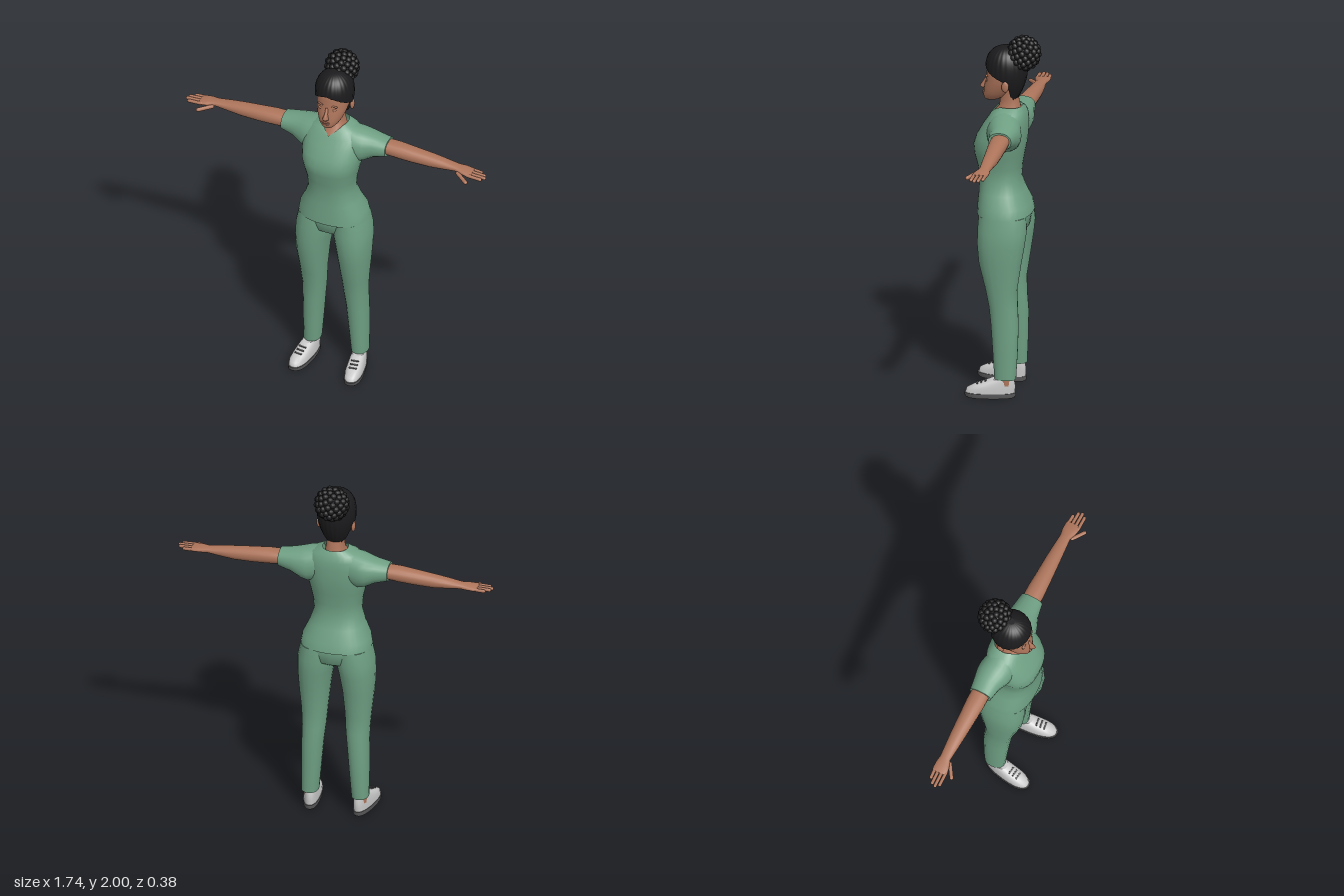
import * as THREE from 'three';

const flat = (name, color) => Object.assign(new THREE.MeshStandardMaterial({ color }), { name });

// Skin through closed rings of points; ends are capped unless told otherwise
function loft(rings, capStart = true, capEnd = true) {
  const n = rings[0].length, pos = rings.flat(2), idx = [];
  for (let i = 0; i < rings.length - 1; i++) {
    for (let j = 0; j < n; j++) {
      const a = i * n + j, b = i * n + (j + 1) % n;
      idx.push(a, b, b + n, a, b + n, a + n);
    }
  }
  const cap = (ring, flip) => {
    const base = pos.length / 3;
    const mid = [0, 1, 2].map(k => ring.reduce((s, p) => s + p[k], 0) / n);
    pos.push(...ring.flat(), ...mid);
    for (let j = 0; j < n; j++) {
      const a = base + j, b = base + (j + 1) % n;
      idx.push(base + n, flip ? b : a, flip ? a : b);
    }
  };
  if (capStart) cap(rings[0], true);
  if (capEnd) cap(rings[rings.length - 1], false);
  const g = new THREE.BufferGeometry();
  g.setAttribute('position', new THREE.Float32BufferAttribute(pos, 3));
  g.setIndex(idx);
  g.computeVertexNormals();
  return g;
}

// Rounded cross-section: unit points on a superellipse
const section = (n, e) => Array.from({ length: n }, (_, j) => {
  const a = j / n * Math.PI * 2;
  const p = v => Math.sign(v) * Math.abs(v) ** (2 / e);
  return [p(Math.sin(a)), p(Math.cos(a))];
});
const mix = (lo, hi, t) => (lo + hi) / 2 + (hi - lo) / 2 * t;

// Rows [y, x0, x1, zBack, zFront] stacked upward
const upright = (rows, n = 24, e = 2.2) => rows.map(([y, x0, x1, z0, z1]) =>
  section(n, e).map(([s, c]) => [mix(x0, x1, s), y, mix(z0, z1, c)]));
// Rows [y, halfWidth, zBack, zFront], centred on x = 0
const centred = (rows, n, e) => upright(rows.map(([y, w, z0, z1]) => [y, -w, w, z0, z1]), n, e);
// Rows [x, yLow, yHigh, zBack, zFront] running outward
const sideways = (rows, n = 18, e = 2.2) => rows.map(([x, y0, y1, z0, z1]) =>
  section(n, e).map(([s, c]) => [x, mix(y0, y1, c), mix(z0, z1, s)]));

// Rounded rod between two points
function rod(a, b, r) {
  const p = new THREE.Vector3(...a), d = new THREE.Vector3(...b).sub(p);
  const g = new THREE.CapsuleGeometry(r, Math.max(d.length() - 2 * r, 0.001), 4, 10);
  g.applyQuaternion(new THREE.Quaternion().setFromUnitVectors(new THREE.Vector3(0, 1, 0), d.clone().normalize()));
  return g.translate(...p.addScaledVector(d, 0.5).toArray());
}
const ball = (rx, ry, rz, x, y, z, n = 14) =>
  new THREE.SphereGeometry(1, n, Math.ceil(n * 0.7)).scale(rx, ry, rz).translate(x, y, z);

function mirror(geo) {
  const g = geo.clone().scale(-1, 1, 1), ix = g.index.array;
  for (let i = 0; i < ix.length; i += 3) [ix[i], ix[i + 1]] = [ix[i + 1], ix[i]];
  return g;
}

export function createModel() {
  const model = new THREE.Group();
  model.name = 'woman';
  const cloth = flat('scrubGreen', 0x6fa084), skin = flat('skin', 0xae755b);
  const lip = flat('lip', 0x99624d), black = flat('hairBlack', 0x1b1b1d);
  const shoe = flat('shoeGrey', 0xc8c8c8), dark = flat('soleGrey', 0x58585a);
  cloth.side = black.side = THREE.DoubleSide;

  const add = (name, geo, mat) => {
    const m = new THREE.Mesh(geo, mat);
    m.name = name;
    model.add(m);
  };
  const pair = (name, geo, mat) => {
    add(name + 'Left', geo, mat);
    add(name + 'Right', mirror(geo), mat);
  };

  // Shirt body with a V neckline
  const shirt = centred([
    [1.01, .192, -.148, .148], [1.06, .183, -.138, .146], [1.13, .15, -.105, .14], [1.2, .127, -.082, .138],
    [1.27, .132, -.088, .147], [1.34, .148, -.1, .165], [1.39, .16, -.11, .169], [1.44, .165, -.115, .152],
    [1.5, .166, -.118, .118], [1.545, .158, -.114, .088], [1.578, .125, -.104, .066], [1.605, .068, -.088, .044],
  ], 32, 2.4);
  shirt.slice(-2).forEach((ring, k) => ring.forEach(p => {
    const v = p[2] > 0 ? Math.max(0, 1 - Math.abs(p[0]) / .06) : 0;
    p[1] -= v * (k ? .05 : .03);
    p[2] += v * (k ? .038 : .022);
  }));
  add('shirtBody', loft(shirt, true, false), cloth);
  pair('sleeve', loft(sideways([
    [.08, 1.4, 1.594, -.1, .07], [.14, 1.385, 1.582, -.115, .075], [.18, 1.4, 1.572, -.115, .062],
    [.23, 1.43, 1.56, -.105, .042], [.302, 1.452, 1.547, -.094, .03],
  ], 20)), cloth);

  // Trousers: hips and two legs
  add('trouserHips', loft(centred([
    [.9, .05, -.08, .07], [.93, .15, -.125, .112], [1, .19, -.136, .128], [1.06, .165, -.125, .12],
  ])), cloth);
  pair('trouserLeg', loft(upright([
    [.105, .092, .184, -.085, .032], [.25, .08, .185, -.092, .042], [.4, .068, .185, -.096, .053],
    [.5, .057, .184, -.09, .064], [.6, .05, .191, -.087, .083], [.75, .036, .205, -.11, .12],
    [.85, .02, .21, -.126, .13], [.93, .004, .207, -.136, .131], [1.01, .006, .19, -.13, .126],
  ], 20)), cloth);

  // Shoes, turned slightly outward
  const place = g => g.rotateY(.14).translate(.142, 0, 0);
  const foot = rows => place(loft(centred(rows, 24, 2.4).map(r => r.map(([x, y, z]) => [x * (.93 + z), y, z]))));
  pair('shoeUpper', foot([
    [.024, .046, -.078, .186], [.05, .046, -.08, .178], [.07, .043, -.08, .14],
    [.09, .04, -.076, .085], [.104, .036, -.072, .05],
  ]), shoe);
  pair('shoeSole', foot([[0, .046, -.076, .18], [.008, .049, -.083, .19], [.027, .049, -.083, .192]]), dark);
  for (const [z, y] of [[.122, .078], [.1, .086], [.078, .0945]])
    pair('lace', place(new THREE.BoxGeometry(.042, .006, .008).rotateX(.36).translate(0, y, z)), dark);
  pair('ankle', new THREE.CylinderGeometry(.036, .034, .08, 14).translate(.14, .11, -.028), skin);

  // Arms and hands
  pair('arm', loft(sideways([
    [.26, 1.466, 1.538, -.084, .018], [.36, 1.456, 1.538, -.085, .016], [.45, 1.45, 1.53, -.081, .01],
    [.55, 1.449, 1.52, -.078, .003], [.62, 1.456, 1.511, -.073, -.002], [.7, 1.466, 1.498, -.067, -.008],
    [.74, 1.465, 1.495, -.073, .006], [.775, 1.465, 1.489, -.073, .013], [.79, 1.469, 1.485, -.07, .01],
  ])), skin);
  [.838, .864, .872, .856].forEach((tip, i) =>
    pair('finger', rod([.765, 1.477, -.06 + i * .021], [tip, 1.474, -.056 + i * .02], .0095), skin));
  pair('thumb', rod([.705, 1.474, -.008], [.787, 1.457, .045], .011), skin);

  // Neck and head
  add('neck', loft(centred([
    [1.53, .085, -.085, .078], [1.56, .066, -.085, .072], [1.6, .052, -.079, .035],
    [1.64, .046, -.07, .03], [1.7, .05, -.06, .02],
  ])), skin);
  add('head', loft(centred([
    [1.629, .018, .065, .105], [1.637, .034, .035, .116], [1.655, .052, .0, .122], [1.68, .066, -.025, .119],
    [1.71, .077, -.05, .116], [1.74, .085, -.07, .108], [1.77, .089, -.085, .103], [1.8, .091, -.09, .102],
    [1.84, .088, -.09, .098], [1.88, .072, -.075, .08], [1.905, .04, -.04, .045],
  ], 28, 2.15)), skin);
  add('nose', loft(centred([
    [1.688, .008, .09, .122], [1.694, .017, .09, .135], [1.702, .016, .09, .142],
    [1.725, .009, .09, .127], [1.76, .008, .09, .106],
  ], 14, 2)), skin);
  add('upperLip', ball(.024, .005, .008, 0, 1.673, .118), lip);
  add('lowerLip', ball(.021, .006, .008, 0, 1.664, .118), lip);
  pair('eyelid', ball(.017, .008, .008, .036, 1.748, .094), skin);
  pair('brow', ball(.022, .005, .008, .037, 1.773, .094), skin);
  pair('ear', ball(.011, .031, .02, .096, 1.735, -.016), skin);

  // Swept-back hair with fine ridges, cut along a hairline
  const hairline = [[0, 1.835], [.5, 1.818], [1, 1.79], [1.45, 1.768], [1.8, 1.75], [2.05, 1.67], [2.4, 1.645], [3.15, 1.632]];
  const lineAt = a => {
    const k = hairline.findIndex(([t]) => t >= a);
    if (k < 1) return hairline[0][1];
    const [t0, y0] = hairline[k - 1], [t1, y1] = hairline[k];
    return y0 + (y1 - y0) * (a - t0) / (t1 - t0);
  };
  const N = 96, rows = 16, hair = [];
  for (let i = 0; i <= rows; i++) {
    hair.push(Array.from({ length: N }, (_, j) => {
      const a = j / N * Math.PI * 2, low = lineAt(Math.min(a, Math.PI * 2 - a));
      const y = low + (1.934 - low) * Math.sin(i / rows * Math.PI / 2);
      const t = (y - 1.8) / .135;
      const s = t > 0 ? Math.max(.02, 1 - t ** 2.6) ** (1 / 2.2) : 1 - .5 * (-t * .135 / .165) ** 1.8;
      const r = s * (1 + .012 * Math.cos(a * 24));
      return [.104 * r * Math.sin(a), y, (Math.cos(a) > 0 ? .11 : .116) * r * Math.cos(a)];
    }));
  }
  add('hair', loft(hair, false, true), black);

  // Curly bun
  add('bunCore', ball(.08, .08, .08, 0, 1.9, -.097, 20), black);
  const curls = 90;
  for (let i = 0; i < curls; i++) {
    const h = 1 - 2 * (i + .5) / curls, r = Math.sqrt(1 - h * h), a = i * 2.39996;
    add('bunCurl', ball(.018, .018, .018, .079 * r * Math.cos(a), 1.9 + .081 * h, -.097 + .077 * r * Math.sin(a), 9), black);
  }
  return model;
}
